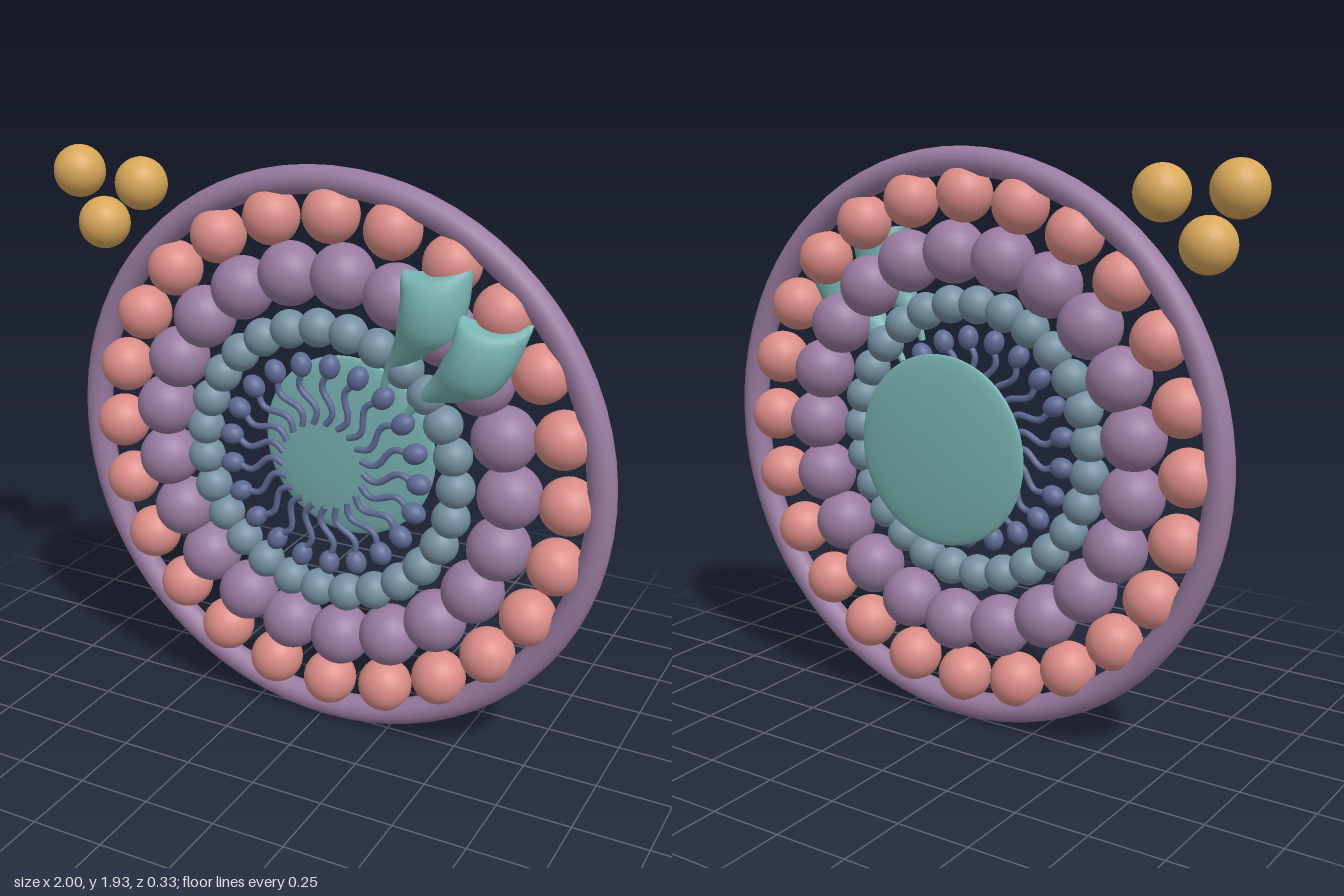
import * as THREE from 'three';
import { toCreasedNormals } from 'three/addons/utils/BufferGeometryUtils.js';

const mat = (name, color) => {
  const m = new THREE.MeshStandardMaterial({ color });
  m.name = name;
  return m;
};

// Flared flask lofted from elliptical sections, its right side leaning back towards the mouth:
// [left x, left y, right x, right y, half depth, centre dip, centre z, lean]
function flaskGeometry() {
  const sections = [
    [0.292, 0.240, 0.313, 0.229, 0.010, 0, 0.070, 0],
    [0.334, 0.304, 0.368, 0.280, 0.022, 0, 0.072, 0],
    [0.393, 0.379, 0.470, 0.303, 0.045, 0, 0.080, 0.01],
    [0.428, 0.441, 0.576, 0.336, 0.068, 0, 0.085, 0.025],
    [0.457, 0.501, 0.638, 0.421, 0.070, 0, 0.083, 0.04],
    [0.468, 0.555, 0.674, 0.520, 0.055, 0.008, 0.070, 0.055],
    [0.473, 0.581, 0.681, 0.560, 0.022, 0.026, 0.050, 0.065],
  ];
  const steps = 36, n = 24;
  const curves = sections[0].map((_, c) =>
    new THREE.CatmullRomCurve3(sections.map((s, i) => new THREE.Vector3(s[c], i, 0))));
  const sample = i => curves.map(c => c.getPoint(i / steps).x);
  const pos = [], idx = [];
  const centre = (i) => {
    const [lx, ly, rx, ry, , dip, z] = sample(i);
    pos.push((lx + rx) / 2 - dip * 0.3, (ly + ry) / 2 - dip, z);
  };
  for (let i = 0; i <= steps; i++) {
    const [lx, ly, rx, ry, d, dip, z, lean] = sample(i);
    for (let j = 0; j < n; j++) {
      const a = j / n * Math.PI * 2, t = (1 - Math.cos(a)) / 2, k = dip * Math.sin(a) ** 2;
      pos.push(lx + (rx - lx) * t - k * 0.3, ly + (ry - ly) * t - k, z + d * Math.sin(a) - lean * (t - 0.5));
    }
  }
  for (let i = 0; i < steps; i++) {
    for (let j = 0; j < n; j++) {
      const a = i * n + j, b = i * n + (j + 1) % n;
      idx.push(a, b, a + n, b, b + n, a + n);
    }
  }
  const bottom = (steps + 1) * n, top = bottom + 1;
  centre(0);
  centre(steps);
  for (let j = 0; j < n; j++) {
    const k = (j + 1) % n;
    idx.push(bottom, k, j, top, steps * n + j, steps * n + k);
  }
  const g = new THREE.BufferGeometry();
  g.setAttribute('position', new THREE.Float32BufferAttribute(pos, 3));
  g.setIndex(idx);
  return toCreasedNormals(g, 0.9);
}

export function createModel() {
  const model = new THREE.Group();
  model.name = 'ringCrossSection';
  const purple = mat('purple', 0x997ba0);
  const pink = mat('pink', 0xdb8c87);
  const slate = mat('slate blue', 0x748fa0);
  const indigo = mat('indigo', 0x5e6a94);
  const teal = mat('teal', 0x76b0af);
  const gold = mat('gold', 0xd8a75a);

  const add = (parent, name, geo, material, x = 0, y = 0, z = 0) => {
    const m = new THREE.Mesh(geo, material);
    m.name = name;
    m.position.set(x, y, z);
    parent.add(m);
    return m;
  };
  const ball = r => new THREE.SphereGeometry(r, 24, 16);

  // Everything circular shares one centre
  const wheel = new THREE.Group();
  wheel.name = 'wheel';
  wheel.position.set(0.03, 0.97, 0.007);
  model.add(wheel);

  add(wheel, 'outerRim', new THREE.TorusGeometry(0.92, 0.046, 14, 72), purple);

  // Concentric rings of beads, stepping forward towards the centre
  const beadRing = (name, count, ringRadius, r, material, z) => {
    const group = new THREE.Group();
    group.name = name + 'Ring';
    wheel.add(group);
    const geo = ball(r);
    for (let i = 0; i < count; i++) {
      const a = i / count * Math.PI * 2;
      add(group, name, geo, material, ringRadius * Math.cos(a), ringRadius * Math.sin(a), z);
    }
  };
  beadRing('outerBead', 24, 0.816, 0.092, pink, 0.002);
  beadRing('largeBead', 21, 0.63, 0.104, purple, 0.012);
  beadRing('smallBead', 27, 0.458, 0.063, slate, 0.036);

  // Inner ring: oval heads with wavy tails pointing at the centre
  const tailPoints = [];
  for (let i = 0; i <= 8; i++) {
    const t = i / 8;
    tailPoints.push(new THREE.Vector3(0.32 - 0.175 * t, 0.022 * Math.sin(t * Math.PI * 2), 0));
  }
  const tailGeo = new THREE.TubeGeometry(new THREE.CatmullRomCurve3(tailPoints), 24, 0.011, 8);
  const headGeo = ball(1).scale(0.041, 0.034, 0.034);
  for (let i = 0; i < 21; i++) {
    const strand = new THREE.Group();
    strand.name = 'strand';
    strand.position.z = 0.06;
    strand.rotation.z = i / 21 * Math.PI * 2;
    add(strand, 'strandHead', headGeo, indigo, 0.343);
    add(strand, 'strandTail', tailGeo, indigo);
    wheel.add(strand);
  }

  // Flattened disc floating behind the centre
  add(wheel, 'backDisc', new THREE.SphereGeometry(1, 48, 24).scale(0.317, 0.317, 0.032), teal, 0, 0, -0.136);

  // Two flared flasks lying over the beads
  const flaskGeo = flaskGeometry();
  for (let i = 0; i < 2; i++) {
    add(wheel, 'flask', flaskGeo, teal).rotation.z = i * Math.PI * 2 / 21;
  }

  // Loose beads at the upper corner
  for (const [x, y] of [[-0.915, 1.835], [-0.67, 1.815], [-0.825, 1.67]]) {
    add(model, 'looseBead', ball(0.087), gold, x, y, 0.007);
  }
  return model;
}
